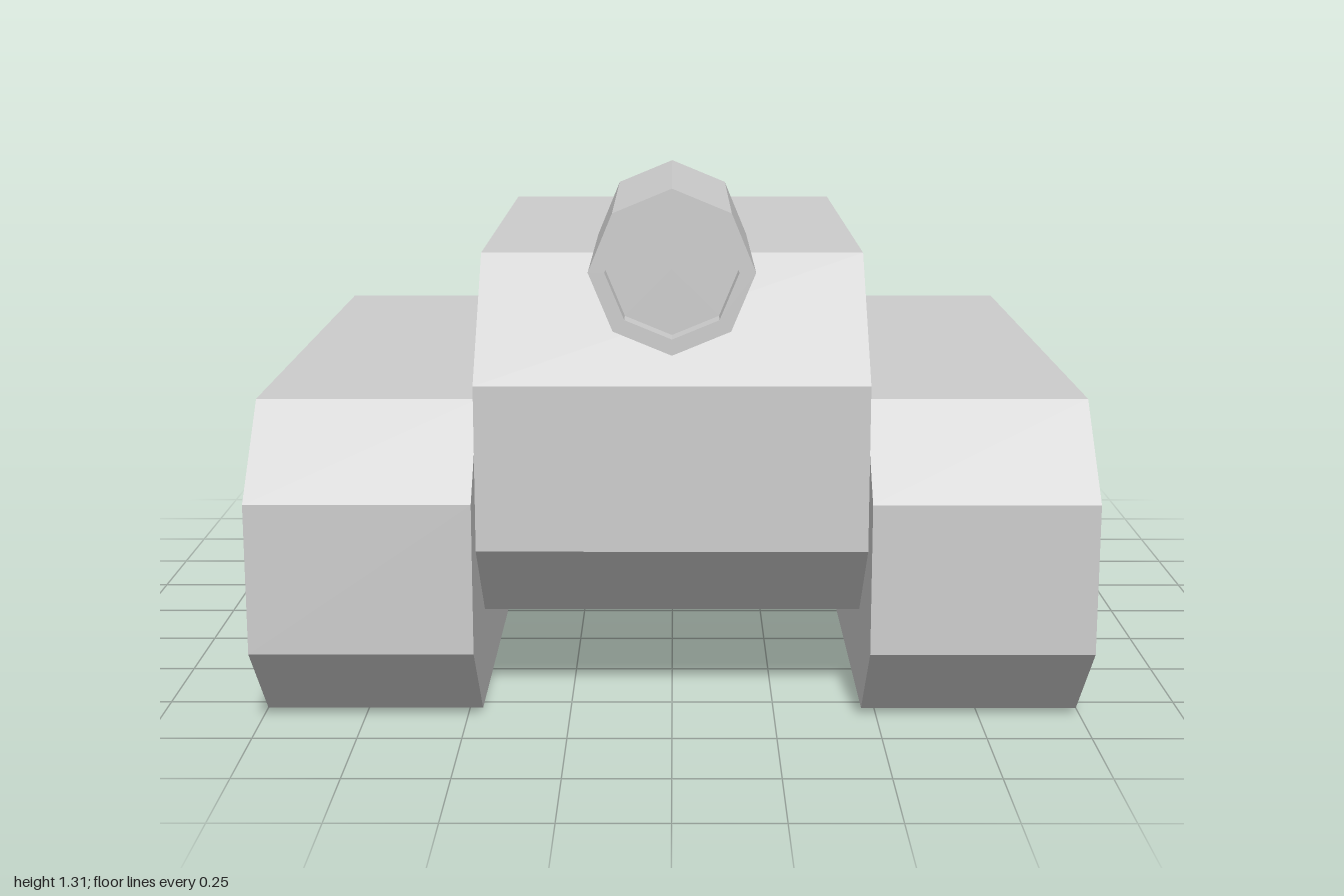
import * as THREE from 'three';

export function createModel() {
  const model = new THREE.Group();
  model.name = 'tank';
  const grey = new THREE.MeshStandardMaterial({ color: 0xcccccc, flatShading: true });
  grey.name = 'plain grey';

  // Slab with chamfered ends: side profile in z and y, extruded across x
  function slab(name, width, x, half, bottom, top, lowCut, highCut) {
    const shape = new THREE.Shape([
      [-half + lowCut, bottom], [half - lowCut, bottom],
      [half, bottom + lowCut], [half, top - highCut],
      [half - highCut, top], [-half + highCut, top],
      [-half, top - highCut], [-half, bottom + lowCut],
    ].map(([z, y]) => new THREE.Vector2(z, y)));
    const geometry = new THREE.ExtrudeGeometry(shape, { depth: width, bevelEnabled: false });
    geometry.translate(0, 0, -width / 2).rotateY(-Math.PI / 2);
    const mesh = new THREE.Mesh(geometry, grey);
    mesh.name = name;
    mesh.position.x = x;
    model.add(mesh);
  }

  // Hull and the two tracks
  slab('hull', 0.936, 0, 0.903, 0.225, 1.113, 0.208, 0.278);
  slab('leftTrack', 0.532, 0.734, 1, 0, 0.782, 0.209, 0.209);
  slab('rightTrack', 0.532, -0.734, 1, 0, 0.782, 0.209, 0.209);

  // Eight-sided gun barrel with a recessed muzzle
  const profile = [
    [0, 0.275], [0.193, 0.275], [0.193, 0.97],
    [0.155, 0.97], [0.155, 0.91], [0, 0.91],
  ].map(([r, z]) => new THREE.Vector2(r, z));
  const barrel = new THREE.Mesh(new THREE.LatheGeometry(profile, 8).rotateX(Math.PI / 2), grey);
  barrel.name = 'gunBarrel';
  barrel.position.y = 1.114;
  model.add(barrel);

  return model;
}
